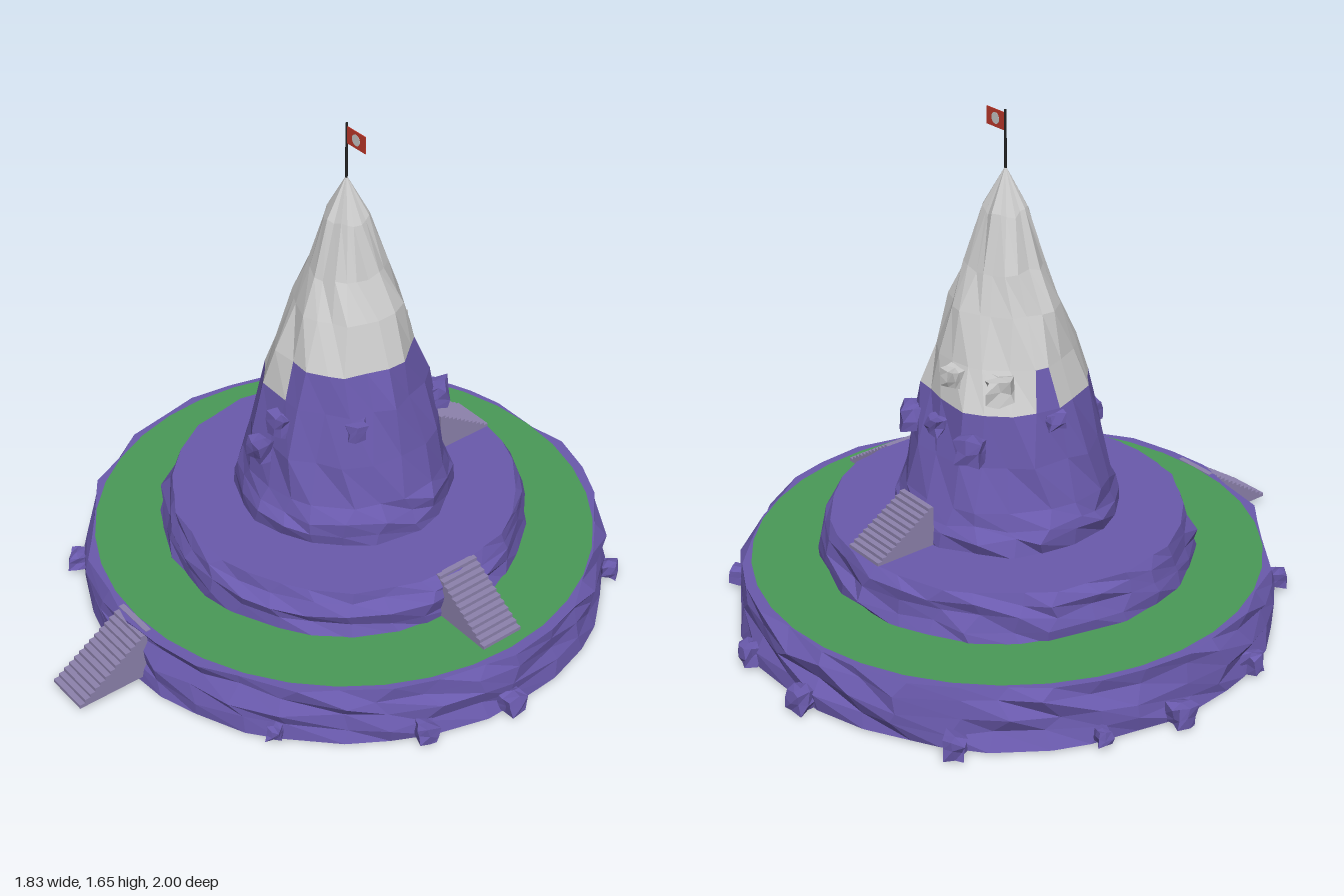
import * as THREE from 'three';

const CX = 0.015, CZ = -0.085; // centre line of the mountain
const mat = (color, flat = true) =>
  new THREE.MeshStandardMaterial({ color, flatShading: flat, side: THREE.DoubleSide });

// small seeded generator, returns -1..1
function seeded(seed) {
  let s = seed;
  return () => ((s = (s * 16807) % 2147483647) / 2147483647) * 2 - 1;
}

function add(parent, name, geometry, material, x = 0, y = 0, z = 0) {
  const mesh = new THREE.Mesh(geometry, material);
  mesh.name = name;
  mesh.position.set(x, y, z);
  parent.add(mesh);
  return mesh;
}

// Craggy wall of revolution. Rows are [y, radius, radius jitter, height jitter], bottom to top.
// Returns one geometry per class picked by pick(row, angle in degrees).
function crag(rows, segs, seed, pick = () => 0) {
  const rnd = seeded(seed);
  const rings = rows.map(([y, r, jr, jy]) => {
    const ring = [];
    for (let i = 0; i < segs; i++) {
      const a = ((i + rnd() * 0.25) / segs) * Math.PI * 2;
      const rad = r + rnd() * jr;
      ring.push([Math.cos(a) * rad, y + rnd() * jy, Math.sin(a) * rad]);
    }
    return ring;
  });
  const out = [[], []];
  for (let j = 0; j < rings.length - 1; j++) {
    for (let i = 0; i < segs; i++) {
      const k = (i + 1) % segs;
      const a = rings[j][i], b = rings[j][k], c = rings[j + 1][k], d = rings[j + 1][i];
      const target = out[pick(j, ((i + 0.5) / segs) * 360)];
      target.push(...a, ...d, ...c, ...a, ...c, ...b);
    }
  }
  return out.map((p) => {
    const g = new THREE.BufferGeometry();
    g.setAttribute('position', new THREE.Float32BufferAttribute(p, 3));
    g.computeVertexNormals();
    return g;
  });
}

// Flat disc facing up
function disc(radius, segs) {
  return new THREE.CircleGeometry(radius, segs).rotateX(-Math.PI / 2);
}

// Solid flight of steps, rising from z = run down to z = 0
function stairs(run, rise, width, count) {
  const s = new THREE.Shape();
  s.moveTo(0, 0);
  s.lineTo(run, 0);
  for (let i = 0; i < count; i++) {
    const y = (rise * (i + 1)) / count;
    s.lineTo(run * (1 - i / count), y);
    s.lineTo(run * (1 - (i + 1) / count), y);
  }
  const g = new THREE.ExtrudeGeometry(s, { depth: width, bevelEnabled: false });
  return g.translate(0, 0, -width / 2).rotateY(-Math.PI / 2);
}

// Lumpy boulder: a box whose shared corners are pushed about
function boulder(size, seed) {
  const g = new THREE.BoxGeometry(size, size, size, 2, 2, 2);
  const p = g.attributes.position, rnd = seeded(seed), moved = {};
  for (let i = 0; i < p.count; i++) {
    const key = [p.getX(i), p.getY(i), p.getZ(i)].map((v) => Math.round(v * 1000)).join();
    moved[key] ??= [rnd(), rnd(), rnd()].map((v) => v * size * 0.13);
    const [dx, dy, dz] = moved[key];
    p.setXYZ(i, p.getX(i) * 1.05 + dx, p.getY(i) + dy, p.getZ(i) * 1.05 + dz);
  }
  g.computeVertexNormals();
  return g;
}

export function createModel() {
  const model = new THREE.Group();
  model.name = 'mountain';
  const rock = mat(0x6a5aad), snow = mat(0xcccccc), grass = mat(0x4a9a58);
  const stone = mat(0x8d82ad), dark = mat(0x222222, false);

  // Lower terrace with its lawn
  add(model, 'lowerTerraceWall', crag([
    [0, 0.86, 0.01, 0], [0.05, 0.855, 0.015, 0.01], [0.1, 0.85, 0.02, 0.012],
    [0.15, 0.845, 0.02, 0.012], [0.193, 0.835, 0.02, 0], [0.193, 0.8, 0, 0],
  ], 36, 11)[0], rock, CX, 0, CZ);
  add(model, 'lawn', disc(0.815, 36), grass, CX, 0.195, CZ);

  // Middle terrace
  add(model, 'middleTerraceWall', crag([
    [0.185, 0.595, 0.015, 0], [0.23, 0.59, 0.02, 0.01], [0.27, 0.585, 0.02, 0.012],
    [0.31, 0.575, 0.015, 0.01], [0.343, 0.56, 0.01, 0], [0.343, 0.54, 0, 0],
  ], 30, 23)[0], rock, CX, 0, CZ);
  add(model, 'middleTerraceTop', disc(0.555, 32), rock, CX, 0.345, CZ);

  // Peak, with snow reaching lower on the left and back
  const lowSnow = (a) => (a > 90 && a < 185) || (a > 205 && a < 305);
  const [slope, cap] = crag([
    [0.34, 0.35, 0.012, 0], [0.39, 0.352, 0.015, 0.012], [0.43, 0.342, 0.015, 0.012],
    [0.475, 0.325, 0.01, 0], [0.61, 0.295, 0.015, 0], [0.775, 0.255, 0.015, 0],
    [0.9, 0.22, 0.014, 0], [1.05, 0.168, 0.014, 0], [1.17, 0.122, 0.012, 0.01],
    [1.34, 0.065, 0.008, 0.01], [1.47, 0.001, 0, 0],
  ], 20, 37, (row, a) => (row > 5 || (row === 5 && lowSnow(a)) ? 1 : 0));
  add(model, 'peakSlope', slope, rock, CX, 0, CZ);
  add(model, 'snowCap', cap, snow, CX, 0, CZ);

  // Flights of steps between the levels
  add(model, 'frontStairs', stairs(0.27, 0.175, 0.15, 14), stone, CX, 0.02, 0.73);
  add(model, 'sideStairs', stairs(0.23, 0.148, 0.15, 12), stone, 0.56, 0.197, CZ).rotation.y = Math.PI / 2;
  add(model, 'backStairs', stairs(0.21, 0.13, 0.15, 12), stone, CX, 0.346, -0.43).rotation.y = Math.PI;

  // Boulders round the foot
  const foot = [
    [-0.1, -0.96], [0.2, -0.945], [-0.58, -0.75], [0.62, -0.72], [-0.81, -0.39], [-0.87, -0.14],
    [0.885, -0.05], [-0.805, 0.21], [0.82, 0.24], [-0.5, 0.63], [0.545, 0.6],
  ];
  foot.forEach(([x, z], i) => {
    const size = [0.064, 0.06, 0.058, 0.05, 0.042, 0.06][i % 6];
    add(model, 'footBoulder', boulder(size, 101 + i * 77), rock, x, 0.035, z)
      .rotation.y = -Math.atan2(z - CZ, x - CX);
  });

  // Boulders on the slopes: x, y, z, size
  const high = [
    [0.035, 0.7, 0.175, 0.07], [-0.015, 0.588, 0.215, 0.07], [0.24, 0.735, 0.05, 0.055],
    [0.17, 0.665, -0.325, 0.075], [-0.13, 0.67, -0.335, 0.075], [0.02, 0.7, -0.345, 0.055],
    [-0.24, 0.74, -0.11, 0.05],
  ];
  high.forEach(([x, y, z, s], i) =>
    add(model, 'slopeBoulder', boulder(s, 901 + i * 53), rock, x, y, z)
      .rotation.y = -Math.atan2(z - CZ, x - CX));
  [[-0.155, 0.85, -0.245, 0.07], [-0.02, 0.865, -0.315, 0.055]].forEach(([x, y, z, s], i) =>
    add(model, 'snowBoulder', boulder(s, 1501 + i * 91), snow, x, y, z)
      .rotation.y = -Math.atan2(z - CZ, x - CX));

  // Flag on the summit
  add(model, 'flagPole', new THREE.CylinderGeometry(0.004, 0.004, 0.2, 8), dark, CX, 1.545, CZ);
  add(model, 'flag', new THREE.BoxGeometry(0.085, 0.055, 0.003), mat(0xc0392b), 0.06, 1.607, CZ);
  add(model, 'flagDisc', new THREE.CylinderGeometry(0.018, 0.018, 0.005, 20).rotateX(Math.PI / 2),
    mat(0xcccccc, false), 0.06, 1.607, CZ);

  return model;
}
